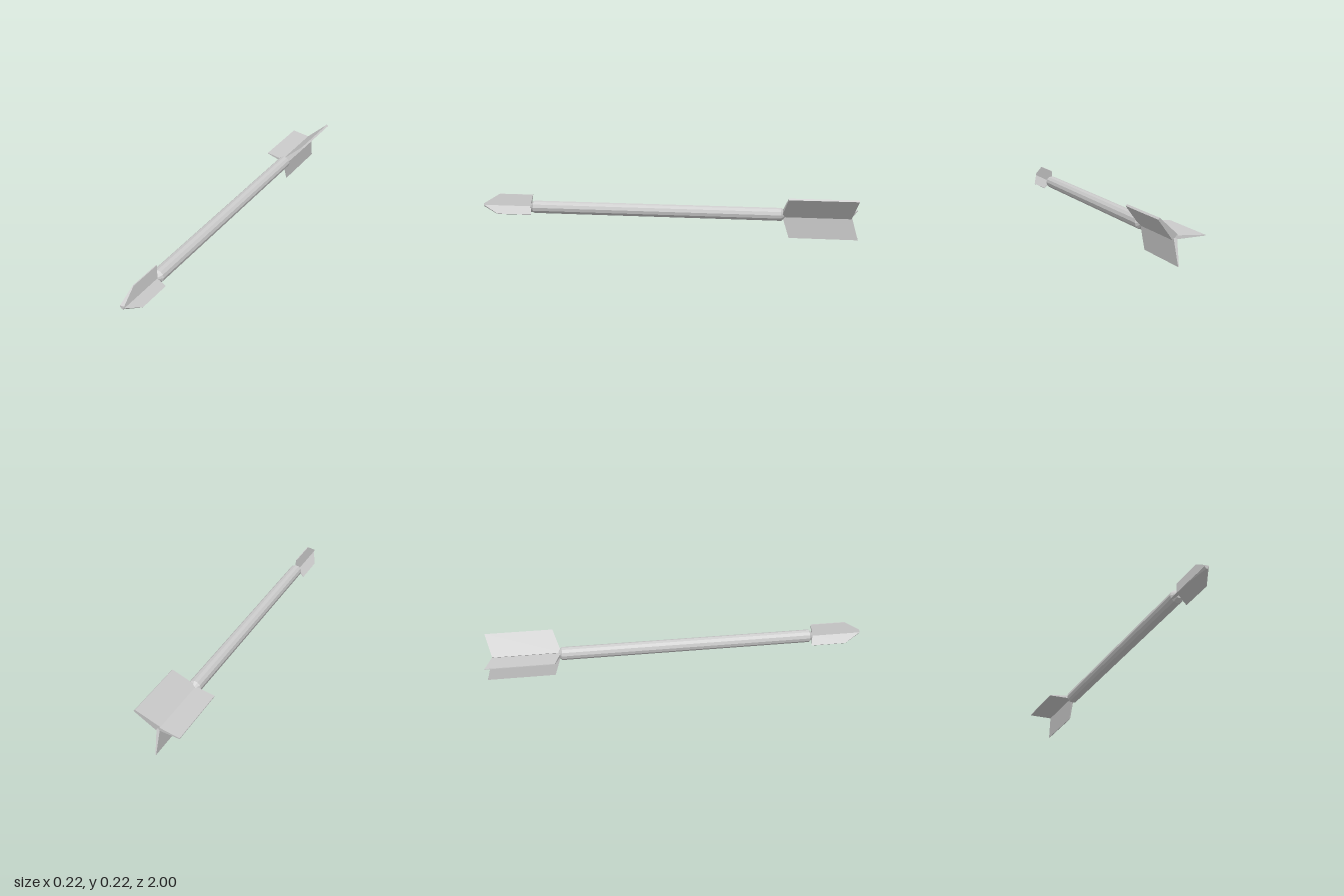
import * as THREE from 'three';

const material = new THREE.MeshStandardMaterial({ color: 0xcccccc, flatShading: true, side: THREE.DoubleSide });
const AXIS_X = 0.014, AXIS_Y = 0.122;

// Blade in the plane of the axis: outline is [radius, z], thickness tapers from root to edge
function blade(name, outline, angleDeg, rootThick, edgeThick) {
  const shape = new THREE.Shape(outline.map(([r, z]) => new THREE.Vector2(r, z)));
  const geo = new THREE.ExtrudeGeometry(shape, { depth: 1, bevelEnabled: false });
  geo.translate(0, 0, -0.5);
  const reach = Math.max(...outline.map(([r]) => r));
  const pos = geo.attributes.position;
  for (let i = 0; i < pos.count; i++) {
    const t = pos.getX(i) / reach;
    pos.setZ(i, pos.getZ(i) * THREE.MathUtils.lerp(rootThick, edgeThick, t));
  }
  geo.rotateX(Math.PI / 2);
  geo.rotateZ(THREE.MathUtils.degToRad(angleDeg));
  geo.computeVertexNormals();
  const mesh = new THREE.Mesh(geo, material);
  mesh.name = name;
  return mesh;
}

export function createModel() {
  const model = new THREE.Group();
  model.name = 'arrow';
  const body = new THREE.Group();
  body.name = 'arrowBody';
  body.position.set(AXIS_X, AXIS_Y, 0);
  model.add(body);

  // Faceted shaft with short tapered ends
  const profile = [[0, -0.63], [0.016, -0.628], [0.034, -0.61], [0.034, 0.715], [0.016, 0.735], [0, 0.737]];
  const shaftGeo = new THREE.LatheGeometry(profile.map(([r, z]) => new THREE.Vector2(r, z)), 12);
  shaftGeo.rotateX(Math.PI / 2);
  const shaft = new THREE.Mesh(shaftGeo, material);
  shaft.name = 'shaft';
  body.add(shaft);

  // Three-bladed head
  const head = new THREE.Group();
  head.name = 'head';
  [['topHeadBlade', 90, 0.024, 0.005], ['rightHeadBlade', 221, 0.012, 0.003], ['leftHeadBlade', -41, 0.012, 0.003]]
    .forEach(([name, angle, root, edge]) => head.add(
      blade(name, [[0, 0.735], [0.062, 0.722], [0.062, 0.91], [0.008, 1], [0, 1]], angle, root, edge)));
  head.position.y = 0.004;
  body.add(head);

  // Three swept tail fins
  const fletching = new THREE.Group();
  fletching.name = 'fletching';
  [['leftUpperFin', 45, 0.134, 0.034, 0.011], ['rightFin', 176.5, 0.126, 0.018, 0.004], ['bottomFin', 270, 0.122, 0.017, 0.004]]
    .forEach(([name, angle, reach, root, edge]) => fletching.add(
      blade(name, [[0, -0.612], [0, -0.965], [reach, -1], [reach, -0.65]], angle, root, edge)));
  body.add(fletching);

  return model;
}
